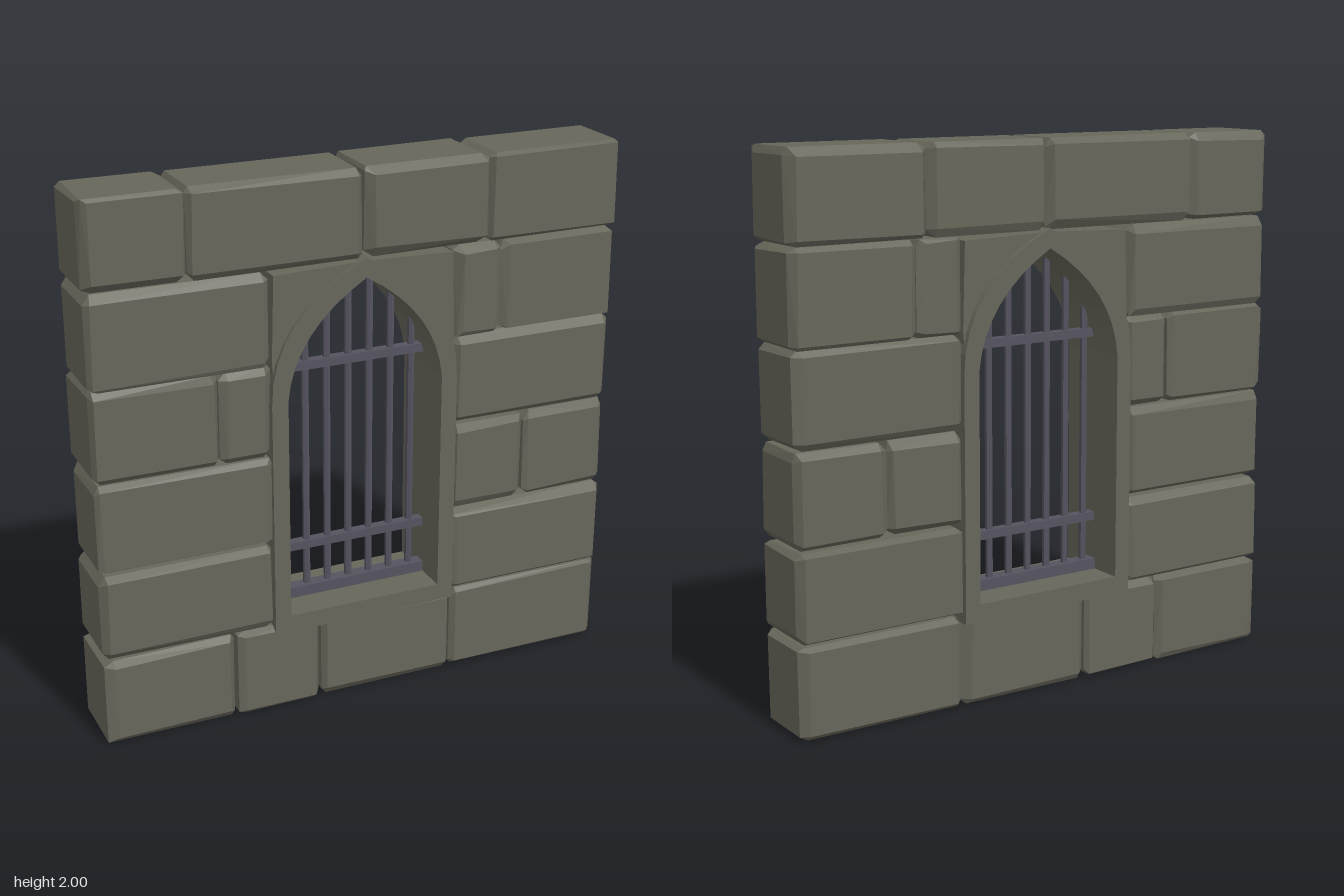
import * as THREE from 'three';
import { ConvexGeometry } from 'three/addons/geometries/ConvexGeometry.js';

const stoneMat = new THREE.MeshStandardMaterial({ name: 'stone', color: 0x67665a, flatShading: true });
const ironMat = new THREE.MeshStandardMaterial({ name: 'iron', color: 0x55535f, flatShading: true });

let seed = 11;
function rand(a, b) {
  seed = (seed * 16807) % 2147483647;
  return a + (b - a) * (seed / 2147483647);
}

function add(group, name, geometry, material) {
  const mesh = new THREE.Mesh(geometry, material);
  mesh.name = name;
  group.add(mesh);
  return mesh;
}

// Rough hewn block: six planar faces whose corners are inset unevenly
function blockGeometry(x0, x1, y0, y1, z0 = -0.14, z1 = 0.143) {
  const lo = [x0, y0, z0], hi = [x1, y1, z1];
  const points = [];
  for (let axis = 0; axis < 3; axis++) {
    for (const side of [0, 1]) {
      // One bevel width for each edge of this face, plus a little wobble
      const bevel = [0, 1, 2, 3].map(() => rand(0.006, 0.03));
      const [u, v] = [(axis + 1) % 3, (axis + 2) % 3];
      for (const su of [0, 1]) for (const sv of [0, 1]) {
        const p = [0, 0, 0];
        const iu = bevel[su] + rand(0, 0.01), iv = bevel[2 + sv] + rand(0, 0.01);
        p[axis] = side ? hi[axis] : lo[axis];
        p[u] = su ? hi[u] - iu : lo[u] + iu;
        p[v] = sv ? hi[v] - iv : lo[v] + iv;
        points.push(new THREE.Vector3(...p));
      }
    }
  }
  return new ConvexGeometry(points);
}

// Pointed arch outline: straight jambs, then a curve to the apex
function arch(path, half, bottom, spring, shoulderX, shoulderY, apex) {
  path.moveTo(-half, bottom);
  path.lineTo(half, bottom);
  path.lineTo(half, spring);
  path.quadraticCurveTo(shoulderX, shoulderY, 0, apex);
  path.quadraticCurveTo(-shoulderX, shoulderY, -half, spring);
  path.lineTo(-half, bottom);
  return path;
}

function extrude(shape, z0, z1) {
  const g = new THREE.ExtrudeGeometry(shape, { depth: z1 - z0, bevelEnabled: false, curveSegments: 8 });
  return g.translate(0, 0, z0);
}

export function createModel() {
  const model = new THREE.Group();
  model.name = 'barredWindowWall';

  // Courses of stone: [bottom, top, [left, right] pairs]
  const courses = [
    [0, 0.335, [[-1, -0.51], [-0.5, -0.175], [-0.17, 0.36], [0.36, 1]]],
    [0.34, 0.66, [[-1, -0.355], [0.355, 1]]],
    [0.672, 1.005, [[-1, -0.355], [0.355, 0.65], [0.65, 1]]],
    [1.01, 1.345, [[-1, -0.545], [-0.545, -0.35], [0.35, 1]]],
    [1.345, 1.68, [[-1, -0.36], [0.35, 0.53], [0.53, 1]]],
    [1.682, 2, [[-1, -0.64], [-0.64, -0.003], [0.003, 0.48], [0.48, 1]]],
  ];
  const wall = new THREE.Group();
  wall.name = 'stoneWall';
  model.add(wall);
  courses.forEach(([y0, y1, spans], row) => {
    spans.forEach(([x0, x1], i) => {
      add(wall, `stoneRow${row + 1}Block${i + 1}`, blockGeometry(x0, x1, y0, y1), stoneMat);
    });
  });

  // Stones cut to fit above the arch on both sides
  for (const s of [-1, 1]) {
    const shape = new THREE.Shape();
    shape.moveTo(s * 0.35, 1.35);
    shape.lineTo(s * 0.34, 1.665);
    shape.lineTo(s * 0.02, 1.675);
    shape.quadraticCurveTo(s * 0.34, 1.5, s * 0.34, 1.25);
    add(wall, s < 0 ? 'rightArchStone' : 'leftArchStone', extrude(shape, -0.135, 0.135), stoneMat);
  }

  // Window surround with its pointed opening
  const surround = arch(new THREE.Shape(), 0.358, 0.31, 1.2, 0.36, 1.52, 1.69);
  surround.holes.push(arch(new THREE.Path(), 0.297, 0.375, 1.21, 0.275, 1.46, 1.62));
  add(model, 'windowSurround', extrude(surround, -0.154, 0.15), stoneMat);

  // Iron grille
  const grille = new THREE.Group();
  grille.name = 'grille';
  model.add(grille);
  const curve = new THREE.QuadraticBezierCurve(
    new THREE.Vector2(0.297, 1.21), new THREE.Vector2(0.275, 1.46), new THREE.Vector2(0, 1.62));
  const outline = curve.getPoints(60);
  for (let i = -3; i <= 3; i++) {
    const x = i * 0.0835 - 0.005;
    const top = outline.find((p) => p.x <= Math.abs(x)).y + 0.01;
    const bar = add(grille, 'verticalBar', new THREE.CylinderGeometry(0.0135, 0.0135, top - 0.37, 6), ironMat);
    bar.position.set(x, (top + 0.37) / 2, 0);
  }
  for (const [y, h, d] of [[0.395, 0.042, 0.05], [0.58, 0.032, 0.036], [1.28, 0.032, 0.036]]) {
    const bar = add(grille, 'crossBar', new THREE.BoxGeometry(0.6, h, d), ironMat);
    bar.position.set(0, y, 0);
  }
  return model;
}
